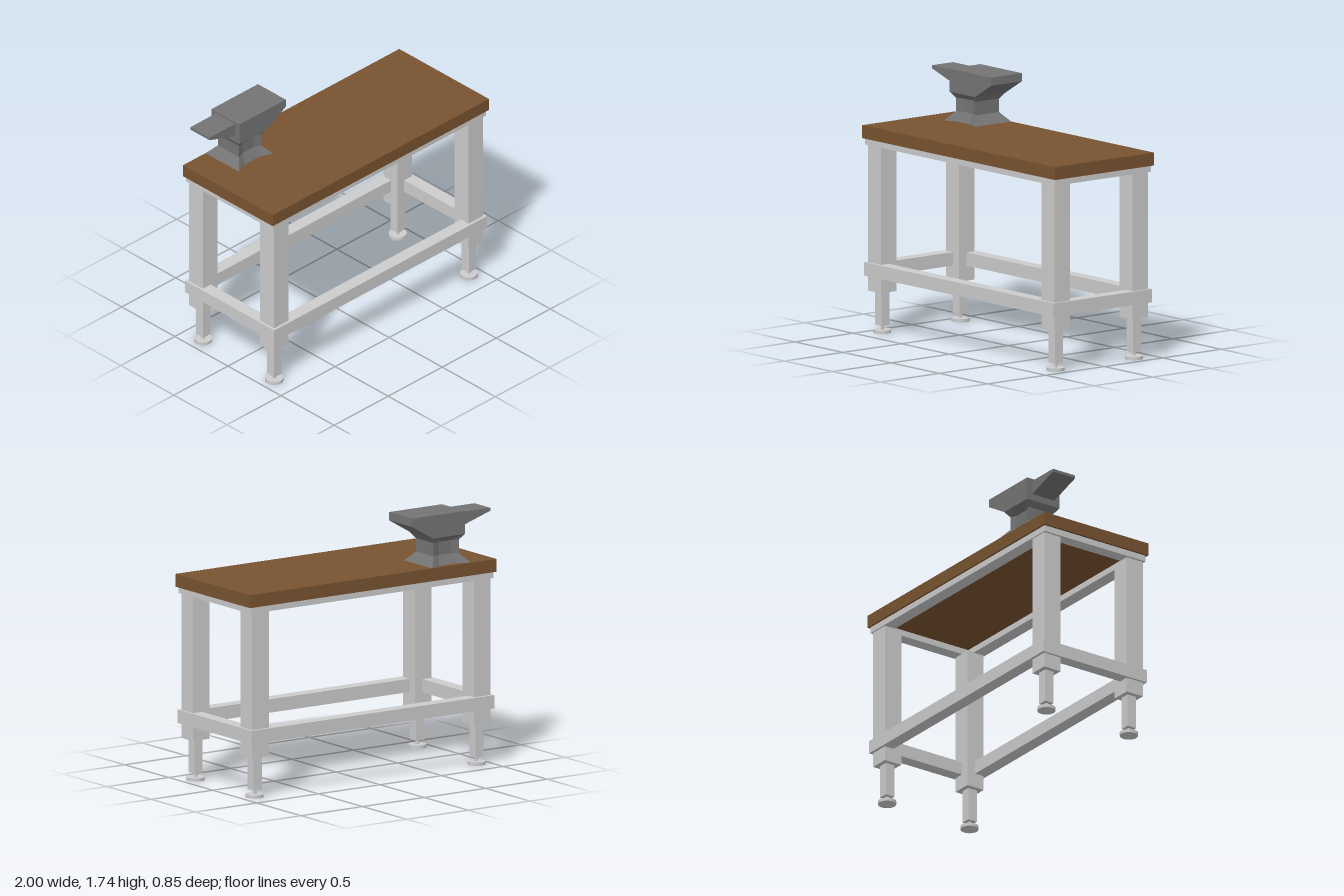
import * as THREE from 'three';

const steel = new THREE.MeshStandardMaterial({ color: 0xcccccc });
const wood = new THREE.MeshStandardMaterial({ color: 0x785330 });
const iron = new THREE.MeshStandardMaterial({ color: 0x747474, flatShading: true });

function add(parent, name, geometry, material, x = 0, y = 0, z = 0) {
  const mesh = new THREE.Mesh(geometry, material);
  mesh.name = name;
  mesh.position.set(x, y, z);
  parent.add(mesh);
  return mesh;
}

// Box between two heights, centred on x, z
function box(parent, name, material, w, d, y0, y1, x = 0, z = 0) {
  return add(parent, name, new THREE.BoxGeometry(w, y1 - y0, d), material, x, (y0 + y1) / 2, z);
}

// Rectangular ring of four bars
function barFrame(parent, name, halfX, halfZ, bar, y0, y1) {
  const frame = new THREE.Group();
  frame.name = name;
  for (const s of [-1, 1]) {
    box(frame, 'longBar', steel, 2 * halfX, bar, y0, y1, 0, s * (halfZ - bar / 2));
    box(frame, 'shortBar', steel, bar, 2 * (halfZ - bar), y0, y1, s * (halfX - bar / 2), 0);
  }
  parent.add(frame);
}

// Side profile extruded across z, centred
function slab(points, width) {
  const shape = new THREE.Shape(points.map(([x, y]) => new THREE.Vector2(x, y)));
  return new THREE.ExtrudeGeometry(shape, { depth: width, bevelEnabled: false }).translate(0, 0, -width / 2);
}

// Loft of eight-point sections whose front and back sides are set in
function pedestal(sections) {
  const pos = [], index = [];
  for (const [y, hx, hz, mx, mz] of sections) {
    const half = [[-hx, hz], [-mx, mz], [mx, mz], [hx, hz]];
    for (const s of [1, -1]) for (const [x, z] of half) pos.push(s * x, y, s * z);
  }
  for (let r = 0; r < sections.length - 1; r++) {
    for (let i = 0; i < 8; i++) {
      const a = r * 8 + i, b = r * 8 + (i + 1) % 8;
      index.push(a, b, b + 8, a, b + 8, a + 8);
    }
  }
  const g = new THREE.BufferGeometry();
  g.setAttribute('position', new THREE.Float32BufferAttribute(pos, 3));
  g.setIndex(index);
  g.computeVertexNormals();
  return g;
}

export function createModel() {
  const model = new THREE.Group();
  model.name = 'workbench';

  // Top and frames
  box(model, 'tabletop', wood, 2, 0.845, 1.3, 1.387);
  barFrame(model, 'topFrame', 0.985, 0.41, 0.09, 1.258, 1.3);
  barFrame(model, 'stretchers', 0.985, 0.421, 0.09, 0.38, 0.47);

  // Four legs with telescoping posts and levelling feet
  for (const sx of [-1, 1]) {
    for (const sz of [-1, 1]) {
      const leg = new THREE.Group();
      leg.name = 'leg';
      leg.position.set(sx * 0.9, 0, sz * 0.335);
      box(leg, 'legTube', steel, 0.135, 0.132, 0.28, 1.26);
      box(leg, 'innerPost', steel, 0.068, 0.068, 0.052, 0.28);
      add(leg, 'footStem', new THREE.CylinderGeometry(0.012, 0.012, 0.035, 16), steel, 0, 0.037, 0);
      add(leg, 'footPad', new THREE.CylinderGeometry(0.06, 0.06, 0.022, 32), steel, 0, 0.011, 0);
      model.add(leg);
    }
  }

  // Anvil
  const anvil = new THREE.Group();
  anvil.name = 'anvil';
  anvil.position.z = -0.263;
  add(anvil, 'anvilBody', slab([[-0.765, 1.58], [-0.505, 1.58], [-0.335, 1.68], [-0.335, 1.735], [-0.765, 1.735]], 0.262), iron);
  add(anvil, 'anvilHorn', slab([[-0.765, 1.625], [-0.765, 1.72], [-1, 1.72], [-1, 1.7]], 0.18), iron);
  add(anvil, 'anvilPedestal', pedestal([
    [1.387, 0.157, 0.158, 0.07, 0.12],
    [1.45, 0.102, 0.1, 0.05, 0.08],
    [1.54, 0.102, 0.1, 0.05, 0.08],
    [1.58, 0.13, 0.131, 0.05, 0.131],
  ]), iron, -0.635);
  model.add(anvil);

  return model;
}
